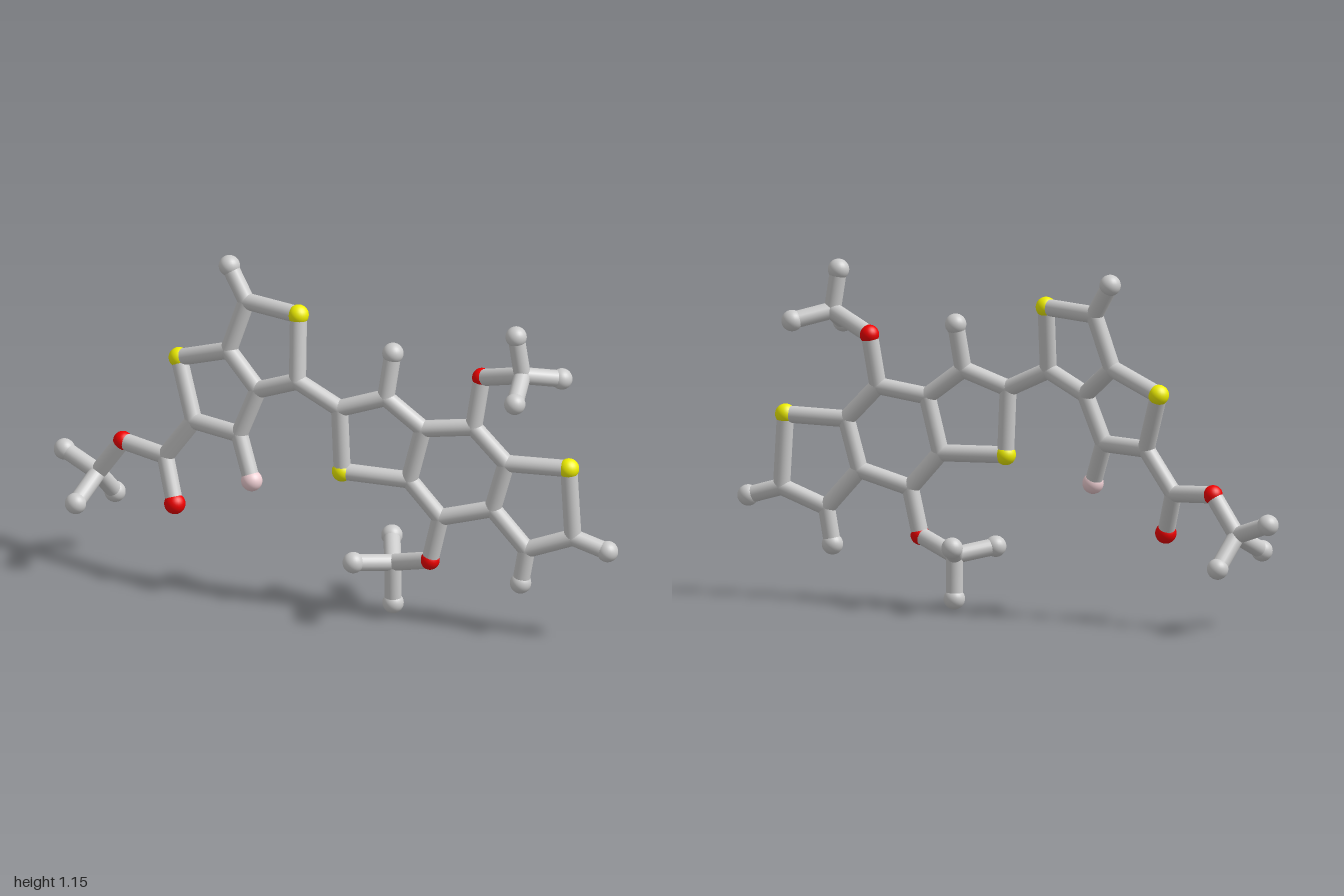
import * as THREE from 'three';

const STICK = 0.028;
const grey = new THREE.MeshStandardMaterial({ color: 0xcccccc });
const yellow = new THREE.MeshStandardMaterial({ color: 0xf0f000 });
const red = new THREE.MeshStandardMaterial({ color: 0xf00000 });
const pink = new THREE.MeshStandardMaterial({ color: 0xf0d0d4 });

// Kinds of ball: name, radius, material
const KINDS = {
  joint: ['joint', STICK, grey],
  end: ['endBall', 0.035, grey],
  sulfur: ['sulfurBall', 0.034, yellow],
  oxygen: ['oxygenBall', 0.032, red],
  oxo: ['oxygenBall', 0.035, red],
  fluorine: ['fluorineBall', 0.035, pink],
};

// The two flat ring systems lie in slightly tilted planes
const leftPlane = (x, y) => 0.214 + 0.258 * x - 0.189 * y;
const rightPlane = (x, y) => 0.06 - 0.123 * x - 0.012 * y;

const L = (kind, x, y) => [kind, x, y, leftPlane(x, y)];
const R = (kind, x, y) => [kind, x, y, rightPlane(x, y)];

const ATOMS = {
  // left double ring
  a1: L('joint', -0.31, 1.01), a2: L('sulfur', -0.105, 1.015), a3: L('joint', -0.09, 0.8),
  a4: L('joint', -0.24, 0.735), a5: L('joint', -0.365, 0.835), a6: L('sulfur', -0.555, 0.765),
  a7: L('joint', -0.48, 0.575), a8: L('joint', -0.3, 0.575),
  a9: ['end', -0.38, 1.115, -0.08], a10: ['fluorine', -0.24, 0.435, 0.067],
  // ester arm
  e1: L('joint', -0.58, 0.435), e2: ['oxo', -0.525, 0.295, 0.034],
  e3: ['oxygen', -0.745, 0.447, -0.055], e4: ['joint', -0.835, 0.32, -0.06],
  e5: ['end', -0.967, 0.367, -0.093], e6: ['end', -0.86, 0.255, 0.07],
  e7: ['end', -0.812, 0.22, -0.15],
  // right triple ring
  b1: R('joint', 0.06, 0.73), b2: R('joint', 0.215, 0.785), b3: R('joint', 0.34, 0.69),
  b4: R('joint', 0.295, 0.505), b5: R('sulfur', 0.07, 0.51), b6: R('joint', 0.51, 0.715),
  b7: R('joint', 0.62, 0.6), b8: R('joint', 0.575, 0.435), b9: R('joint', 0.4, 0.385),
  b10: R('sulfur', 0.83, 0.605), b11: R('joint', 0.845, 0.365), b12: R('joint', 0.69, 0.305),
  b13: ['end', 0.23, 0.935, 0], b14: ['end', 0.963, 0.33, -0.058], b15: ['end', 0.67, 0.185, -0.025],
  // upper methoxy arm
  m1: ['oxygen', 0.53, 0.885, -0.033], m2: ['joint', 0.7, 0.945, 0.032],
  m3: ['end', 0.68, 1.08, 0.037], m4: ['end', 0.722, 0.893, 0.15], m5: ['end', 0.802, 0.915, -0.057],
  // lower methoxy arm
  n1: ['oxygen', 0.365, 0.23, 0.01], n2: ['joint', 0.215, 0.18, -0.035],
  n3: ['end', 0.215, 0.037, -0.038], n4: ['end', 0.118, 0.203, 0.067], n5: ['end', 0.163, 0.222, -0.153],
};

// Chains of joined balls, grouped by part
const PARTS = {
  leftRings: ['a1 a2 a3 a4 a5 a1', 'a5 a6 a7 a8 a4', 'a1 a9', 'a8 a10'],
  esterArm: ['a7 e1 e3 e4 e5', 'e1 e2', 'e6 e4 e7'],
  linkBond: ['a3 b1'],
  rightRings: ['b1 b2 b3 b4 b5 b1', 'b3 b6 b7 b8 b9 b4', 'b7 b10 b11 b12 b8', 'b2 b13', 'b11 b14', 'b12 b15'],
  upperMethoxyArm: ['b6 m1 m2 m3', 'm4 m2 m5'],
  lowerMethoxyArm: ['b9 n1 n2 n3', 'n4 n2 n5'],
};

const position = (id) => new THREE.Vector3(...ATOMS[id].slice(1));

function ball(id) {
  const [name, radius, material] = KINDS[ATOMS[id][0]];
  const mesh = new THREE.Mesh(new THREE.SphereGeometry(radius, 24, 16), material);
  mesh.name = name;
  mesh.position.copy(position(id));
  return mesh;
}

function bond(from, to) {
  const a = position(from);
  const b = position(to);
  const dir = b.clone().sub(a);
  const mesh = new THREE.Mesh(new THREE.CylinderGeometry(STICK, STICK, dir.length(), 20, 1, true), grey);
  mesh.name = 'bond';
  mesh.position.copy(a).add(b).multiplyScalar(0.5);
  mesh.quaternion.setFromUnitVectors(new THREE.Vector3(0, 1, 0), dir.normalize());
  return mesh;
}

export function createModel() {
  const model = new THREE.Group();
  model.name = 'molecule';
  const placed = new Set();
  for (const [name, chains] of Object.entries(PARTS)) {
    const part = new THREE.Group();
    part.name = name;
    for (const chain of chains) {
      const ids = chain.split(' ');
      ids.forEach((id, i) => {
        if (!placed.has(id)) part.add(ball(id));
        placed.add(id);
        if (i > 0) part.add(bond(ids[i - 1], id));
      });
    }
    model.add(part);
  }
  return model;
}
